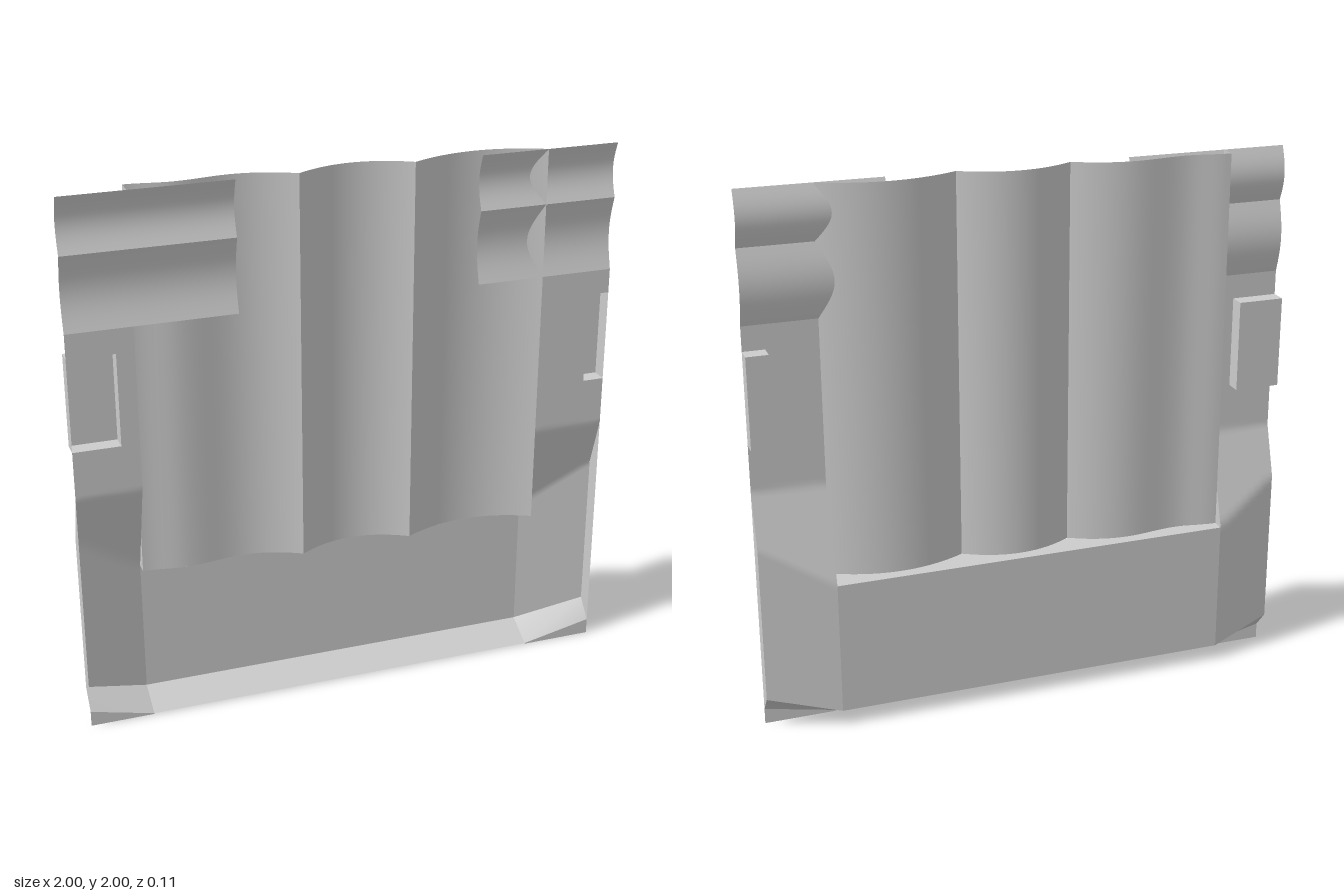
import * as THREE from 'three';

const F = 0.055, B = -0.055, D = -0.005; // front plane, deepest back plane, shallow back plane
const L = -0.765, R = 0.732; // side edges of the corrugated panel
const lerp = THREE.MathUtils.lerp;

const grey = new THREE.MeshStandardMaterial({ color: 0xcccccc, side: THREE.DoubleSide });
grey.name = 'plain grey';

// Smooth sheet from a rule f(u, v) -> [x, y, z]
function sheet(name, nu, nv, f) {
  const pos = [], idx = [];
  for (let j = 0; j <= nv; j++)
    for (let i = 0; i <= nu; i++) {
      pos.push(...f(i / nu, j / nv));
      if (i < nu && j < nv) {
        const a = j * (nu + 1) + i, b = a + nu + 1;
        idx.push(a, a + 1, b + 1, a, b + 1, b);
      }
    }
  const g = new THREE.BufferGeometry();
  g.setAttribute('position', new THREE.Float32BufferAttribute(pos, 3));
  g.setIndex(idx);
  g.computeVertexNormals();
  const m = new THREE.Mesh(g, grey);
  m.name = name;
  return m;
}

// Flat four-cornered face
const quad = (name, a, b, c, d) => sheet(name, 1, 1, (u, v) =>
  [0, 1, 2].map((k) => lerp(lerp(a[k], b[k], u), lerp(d[k], c[k], u), v)));

// Depth of the corrugated panel across x
function panelZ(x) {
  const back = -0.01;
  if (x < -0.6) return lerp(back, 0.01, 0.5 - 0.5 * Math.cos(Math.PI * (x - L) / (-0.6 - L)));
  if (x < -0.4) return lerp(0.01, back, 0.5 - 0.5 * Math.cos(Math.PI * (x + 0.6) / 0.2));
  if (x < -0.18) return lerp(back, F, ((x + 0.4) / 0.22) ** 2);
  const [m, h] = x < 0.235 ? [0.0275, 0.2075] : [0.4835, 0.2485];
  return lerp(back, F, Math.min(1, ((x - m) / h) ** 2));
}

// Depth and lower edge of the side strips
const outward = (x) => Math.min(1, Math.max(0, x < 0 ? (L - x) / (1 + L) : (x - R) / (1 - R)));
const bottomY = (x) => lerp(0.06, 0.13, outward(x));
function stripZ(x, y) {
  if (y > 1.8) return F - 0.026 * Math.sin(Math.PI * (y - 1.8) / 0.2);
  if (y > 1.53) return F - 0.026 * Math.sin(Math.PI * (y - 1.53) / 0.27);
  const ramp = lerp(F, B, (0.92 - y) / 0.35);
  return Math.min(F, Math.max(ramp, lerp(B, D, outward(x))));
}

export function createModel() {
  const model = new THREE.Group();
  model.name = 'corrugatedPanel';

  // Corrugated centre, one mesh per lobe so the ridges stay sharp
  for (const [x0, x1] of [[L, -0.18], [-0.18, 0.235], [0.235, R]])
    model.add(sheet('corrugation', 32, 1, (u, v) => {
      const x = lerp(x0, x1, u);
      const z = u === 1 ? F : u === 0 && x0 > L ? F : panelZ(x);
      return [x, lerp(0.567, 2, v), z];
    }));

  // Ledge below the corrugation and flat lower plate
  model.add(sheet('ledge', 96, 1, (u, v) => {
    const x = lerp(L, R, u);
    return [x, 0.567, lerp(panelZ(x), B, v)];
  }));
  model.add(quad('lowerPlate', [L, 0.06, B], [R, 0.06, B], [R, 0.567, B], [L, 0.567, B]));
  model.add(quad('floor', [L, 0.003, F], [R, 0.003, F], [R, 0.06, B], [L, 0.06, B]));

  const sides = [
    { s: -1, inner: L, patch: -0.4, grip: -0.83 },
    { s: 1, inner: R, patch: 0.483, grip: 0.92 },
  ];
  for (const { s, inner, patch, grip } of sides) {
    const side = new THREE.Group();
    side.name = s > 0 ? 'leftSide' : 'rightSide';
    model.add(side);

    // Strip pieces: x range, y range (lowest piece follows the slanted bottom)
    const strip = (name, xa, xb, y0, y1, n) => {
      const [x0, x1] = xa < xb ? [xa, xb] : [xb, xa];
      side.add(sheet(name, 8, n, (u, v) => {
        const x = lerp(x0, x1, u), y = lerp(y0 ?? bottomY(x), y1, v);
        return [x, y, v === 0 && y0 > 1.5 ? F : stripZ(x, y)];
      }));
    };
    strip('upperScallop', patch, s, 1.8, 2, 16);
    strip('lowerScallop', patch, s, 1.53, 1.8, 16);
    strip('stripTop', inner, s, 1.44, 1.53, 1);
    strip('stripBesideGrip', inner, grip, 1.1, 1.44, 1);
    strip('stripBottom', inner, s, null, 1.1, 60);

    // Box recess at the outer edge
    const y0 = 1.1, y1 = 1.44;
    side.add(quad('gripBack', [Math.min(grip, s), y0, D], [Math.max(grip, s), y0, D],
      [Math.max(grip, s), y1, D], [Math.min(grip, s), y1, D]));
    for (const x of [grip, s])
      side.add(quad('gripSide', [x, y0, D], [x, y0, F], [x, y1, F], [x, y1, D]));
    for (const y of [y0, y1])
      side.add(quad('gripEnd', [grip, y, D], [s, y, D], [s, y, F], [grip, y, F]));

    // Step between strip and corrugation
    const pz = s > 0 ? F : panelZ(L);
    side.add(sheet('innerWall', 1, 80, (u, v) => {
      const y = lerp(0.567, 2, v);
      // the corrugation's edge meets the scallops directly on the left
      const z = s > 0 && y > 0.92 ? F : stripZ(inner, y);
      return [inner, y, lerp(z, pz, u)];
    }));

    // Outer wall, slanted corner floor and small front corner
    side.add(sheet('outerWall', 1, 40, (u, v) => {
      const y = lerp(0.13, 0.92, v);
      return [s, y, lerp(stripZ(s, y), F, u)];
    }));
    side.add(quad('outerWallFoot', [s, 0.06, F], [s, 0.13, D], [s, 0.13, F], [s, 0.06, F]));
    side.add(quad('cornerFloor', [inner, 0.003, F], [s, 0.06, F], [s, 0.13, D], [inner, 0.06, B]));
    side.add(quad('cornerFoot', [inner, 0, F], [s, 0, F], [s, 0.06, F], [inner, 0.003, F]));
  }
  return model;
}
